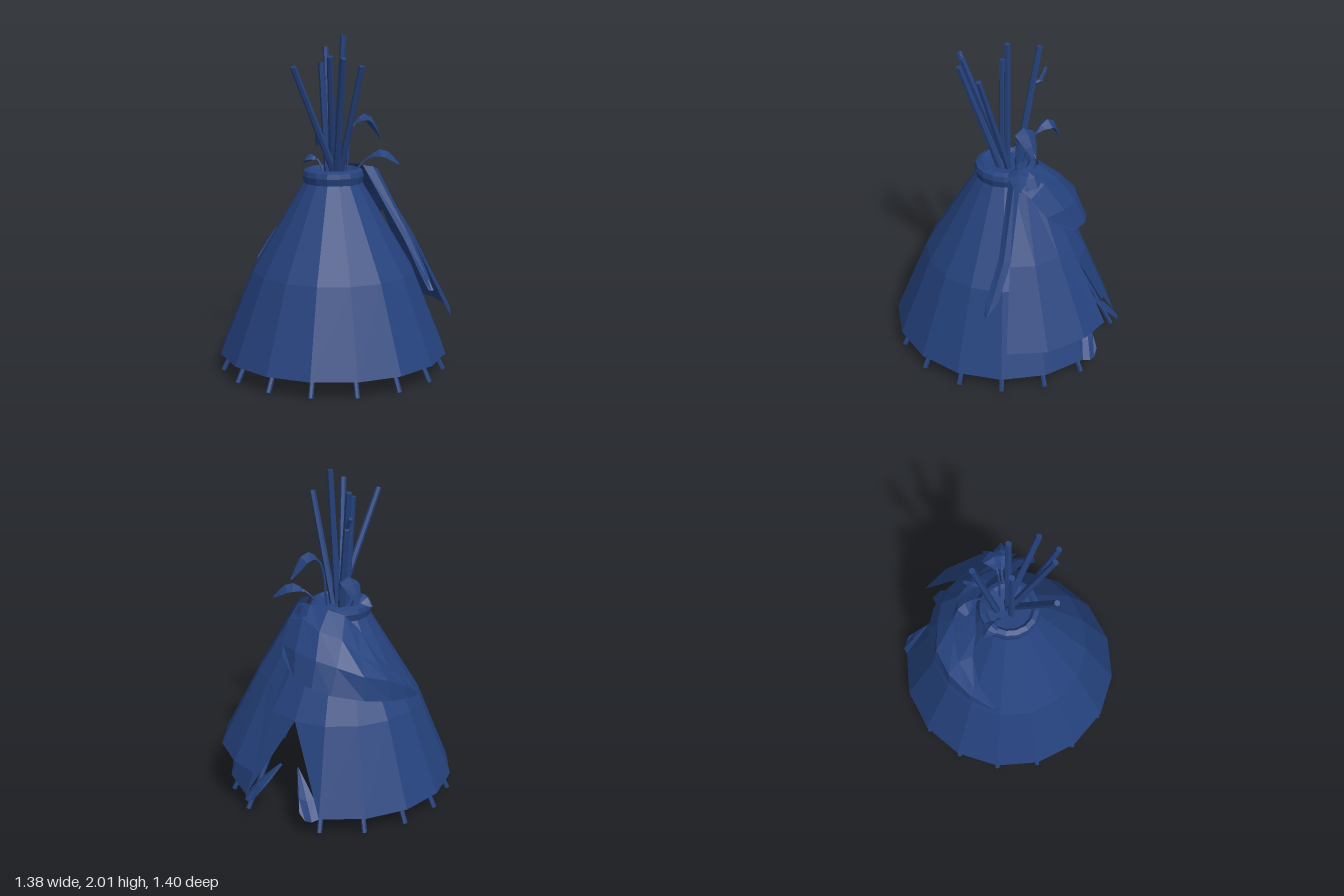
import * as THREE from 'three';

const navy = new THREE.MeshStandardMaterial({ color: 0x25427d, flatShading: true, side: THREE.DoubleSide });
navy.name = 'navy';
const V = (p) => new THREE.Vector3(...p);
const CZ = 0.015; // axis of the tent
const SIDES = 16;

function add(parent, name, geometry) {
  const mesh = new THREE.Mesh(geometry, navy);
  mesh.name = name;
  parent.add(mesh);
  return mesh;
}

// Faceted cloth stretched over rows of points, all rows equally long
function sheet(rows) {
  const pos = [];
  for (let i = 0; i < rows.length - 1; i++) {
    for (let j = 0; j < rows[i].length - 1; j++) {
      const a = rows[i][j], b = rows[i][j + 1], c = rows[i + 1][j + 1], d = rows[i + 1][j];
      pos.push(...a, ...b, ...c, ...a, ...c, ...d);
    }
  }
  const g = new THREE.BufferGeometry();
  g.setAttribute('position', new THREE.Float32BufferAttribute(pos, 3));
  g.computeVertexNormals();
  return g;
}

// Straight pole between two points
function pole(parent, name, from, to, r0, r1) {
  const a = V(from), b = V(to), dir = b.clone().sub(a);
  const m = add(parent, name, new THREE.CylinderGeometry(r1, r0, dir.length(), 6));
  m.position.copy(a).add(b).multiplyScalar(0.5);
  m.quaternion.setFromUnitVectors(new THREE.Vector3(0, 1, 0), dir.normalize());
}

// Drooping feather: thin stem, then a folded blade along the same curve
function feather(parent, points, width) {
  const g = new THREE.Group();
  g.name = 'feather';
  parent.add(g);
  const curve = new THREE.CatmullRomCurve3(points.map(V));
  add(g, 'featherStem', new THREE.TubeGeometry(curve, 10, 0.007, 5));
  const first = curve.getPoint(0), last = curve.getPoint(1);
  const side = new THREE.Vector3(last.z - first.z, 0, first.x - last.x).normalize();
  const top = [], under = [];
  [0.15, 0.6, 1, 0.95, 0.65, 0.12].forEach((w, i) => {
    const t = 0.38 + i * 0.124, c = curve.getPoint(t), tan = curve.getTangent(t);
    const n = side.clone().cross(tan).normalize();
    if (n.y < 0) n.negate();
    const at = (s, h) => c.clone().addScaledVector(side, s * width * w).addScaledVector(n, h * w).toArray();
    top.push([at(-1, -0.015), at(0, 0.02), at(1, -0.015)]);
    under.push([at(-1, -0.015), at(0, -0.015), at(1, -0.015)]);
  });
  add(g, 'featherBlade', sheet(top));
  add(g, 'featherUnderside', sheet(under));
}

export function createModel() {
  const model = new THREE.Group();
  model.name = 'tent';
  const ring = (r, y, i) => {
    const a = (i / SIDES) * Math.PI * 2;
    return [r * Math.sin(a), y, CZ + r * Math.cos(a)];
  };

  // Cover: closed above, with a pointed doorway at the back below
  const row = (r, y, from, to) => Array.from({ length: to - from + 1 }, (_, k) => ring(r, y, from + k));
  add(model, 'upperCover', sheet([row(0.69 - 0.2, 0.6, 0, 16), row(0.17, 1.14, 0, 16)]));
  add(model, 'lowerCover', sheet([row(0.69, 0.1, -7, 7), row(0.49, 0.6, -7, 7)]));
  for (const s of [-1, 1]) {
    const tip = ring(0.49, 0.6, 8), up = ring(0.49, 0.6, 7 * s), low = ring(0.69, 0.1, 7 * s);
    add(model, 'doorEdge', sheet([[low, tip], [up, tip]]));
    // Turned-out door corner
    const x = (v, y, z) => [v * s, y, z];
    add(model, 'doorFold', sheet([
      [x(0.06, 0.34, -0.53), x(0.06, 0.34, -0.54), x(0.06, 0.33, -0.54), x(0.05, 0.33, -0.53)],
      [x(0.2, 0.2, -0.58), x(0.18, 0.19, -0.62), x(0.13, 0.2, -0.63), x(0.1, 0.23, -0.6)],
      [x(0.27, 0.1, -0.61), x(0.24, 0.09, -0.66), x(0.2, 0.09, -0.67), x(0.16, 0.13, -0.67)],
    ]));
  }

  // Collar around the smoke hole
  const collar = [[0.165, 1.115], [0.178, 1.13], [0.186, 1.17], [0.178, 1.2], [0.15, 1.212], [0.13, 1.19], [0.001, 1.18]];
  add(model, 'collar', new THREE.LatheGeometry(collar.map((p) => new THREE.Vector2(...p)), SIDES)).position.z = CZ;

  // Frame poles standing on the ground inside the cover
  for (let i = -7; i <= 7; i++) pole(model, 'framePole', ring(0.675, 0, i), ring(0.09, 1.17, i), 0.015, 0.013);

  // Pole tops fanning out of the smoke hole
  const tops = [
    [[0.03, 1.15, 0.02], [-0.06, 1.83, 0.34]],
    [[0.01, 1.15, 0.0], [0.05, 2.0, -0.02]],
    [[0.02, 1.15, -0.02], [0.235, 1.83, 0.07]],
    [[0.03, 1.15, 0.03], [0.2, 1.88, 0.21]],
    [[-0.01, 1.15, 0.0], [0.12, 1.89, 0.23]],
    [[-0.02, 1.15, 0.04], [-0.055, 1.84, 0.06]],
    [[-0.04, 1.15, -0.04], [-0.15, 1.92, -0.13]],
  ];
  tops.forEach(([a, b]) => pole(model, 'poleTop', a, b, 0.022, 0.018));
  pole(model, 'twig', [-0.12, 1.69, -0.1], [-0.15, 1.71, -0.15], 0.014, 0.013);
  pole(model, 'twig', [-0.14, 1.71, -0.14], [-0.18, 1.78, -0.16], 0.013, 0.012);

  // Long flap hanging over the back left of the cover
  add(model, 'hangingFlap', sheet([
    [[0.13, 0.32, -0.7], [0.32, 0.32, -0.65], [0.53, 0.32, -0.5], [0.65, 0.32, -0.29]],
    [[0.11, 0.78, -0.47], [0.22, 0.78, -0.43], [0.36, 0.78, -0.34], [0.43, 0.78, -0.21]],
    [[0.06, 1.2, -0.24], [0.11, 1.21, -0.22], [0.16, 1.21, -0.18], [0.2, 1.18, -0.12]],
  ]));
  add(model, 'hangingStrip', sheet([
    [[0.15, 1.23, -0.08], [0.19, 1.22, -0.13], [0.2, 1.2, -0.17]],
    [[0.41, 0.8, -0.13], [0.43, 0.8, -0.17], [0.42, 0.8, -0.21]],
    [[0.55, 0.58, -0.11], [0.56, 0.58, -0.15], [0.54, 0.6, -0.19]],
    [[0.59, 0.51, -0.12], [0.6, 0.51, -0.13], [0.61, 0.51, -0.14]],
  ]));

  // Loose flap wrapped from the collar round the back to the right side
  add(model, 'drapedFlap', sheet([
    [[0.2, 1.19, -0.13], [0.2, 1.12, -0.24], [0.18, 1.0, -0.33], [0.16, 0.95, -0.37]],
    [[0.08, 1.22, -0.17], [0.08, 1.16, -0.27], [0.05, 1.0, -0.39], [0.02, 0.85, -0.45]],
    [[-0.04, 1.21, -0.18], [-0.06, 1.12, -0.3], [-0.1, 0.98, -0.4], [-0.11, 0.83, -0.46]],
    [[-0.13, 1.18, -0.14], [-0.19, 1.08, -0.26], [-0.22, 0.95, -0.36], [-0.22, 0.8, -0.43]],
    [[-0.2, 1.1, -0.1], [-0.28, 0.99, -0.21], [-0.36, 0.9, -0.29], [-0.38, 0.76, -0.31]],
    [[-0.3, 0.95, -0.07], [-0.36, 0.92, -0.13], [-0.44, 0.85, -0.16], [-0.46, 0.72, -0.15]],
    [[-0.4, 0.78, 0.03], [-0.43, 0.8, 0.01], [-0.47, 0.76, 0], [-0.48, 0.68, 0.01]],
    [[-0.44, 0.63, 0.18], [-0.445, 0.65, 0.18], [-0.45, 0.64, 0.18], [-0.45, 0.63, 0.18]],
  ]));

  // Feathers tucked into the collar
  feather(model, [[-0.06, 1.18, -0.07], [-0.09, 1.37, -0.13], [-0.19, 1.42, -0.18], [-0.27, 1.3, -0.21]], 0.055);
  feather(model, [[0.04, 1.18, -0.07], [0.07, 1.46, -0.1], [0.12, 1.51, -0.16], [0.17, 1.38, -0.25]], 0.06);
  feather(model, [[0.09, 1.17, -0.07], [0.15, 1.26, -0.12], [0.23, 1.3, -0.17], [0.32, 1.23, -0.22]], 0.06);
  feather(model, [[-0.08, 1.18, 0], [-0.12, 1.25, 0], [-0.18, 1.26, -0.01], [-0.24, 1.22, -0.02]], 0.045);
  return model;
}
